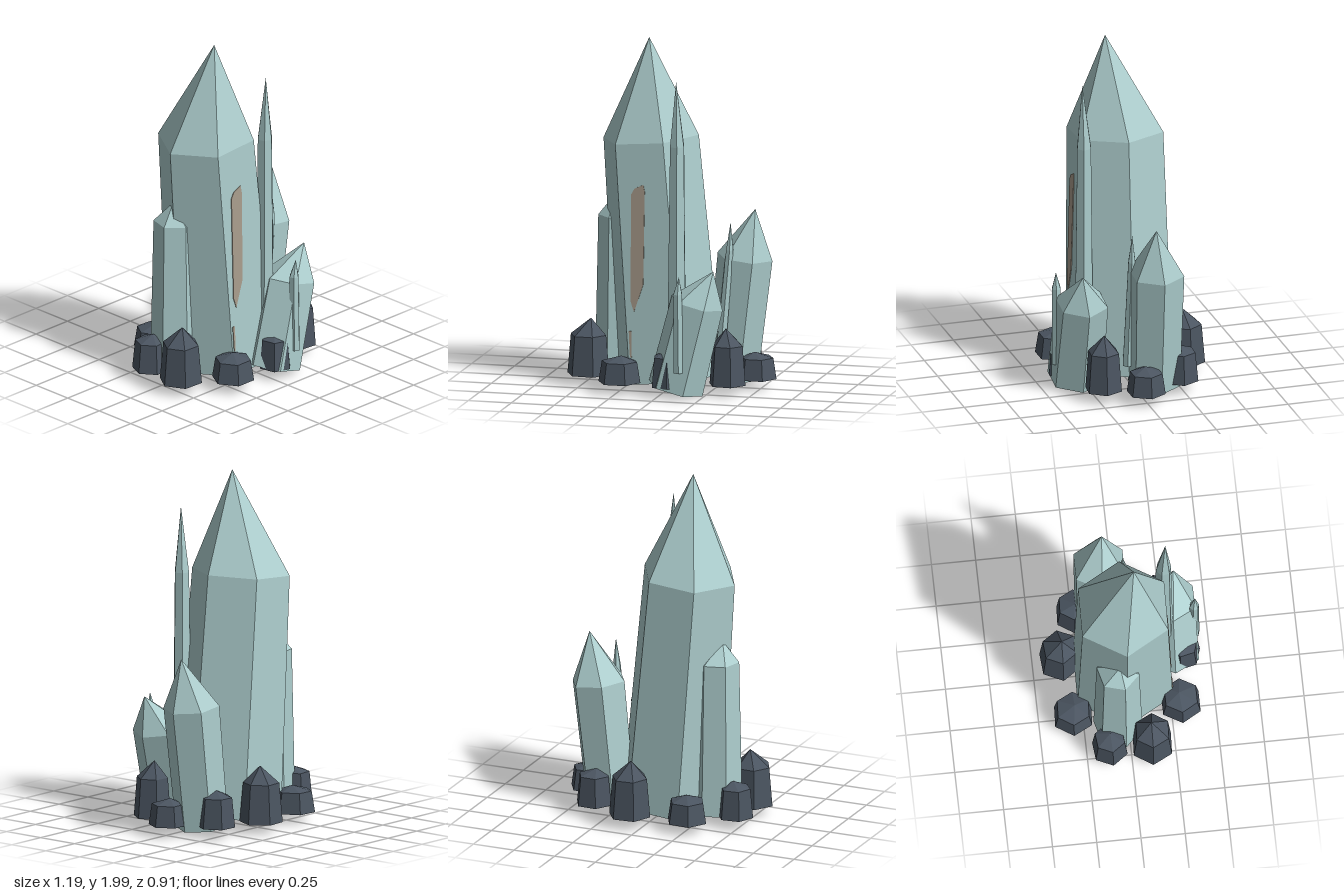
import * as THREE from 'three';

const V = (a) => new THREE.Vector3(...a);

// Six-sided ring of corners at right angles to an axis
function ring(center, axis, radius, yaw) {
  const q = new THREE.Quaternion().setFromUnitVectors(new THREE.Vector3(0, 1, 0), axis);
  return Array.from({ length: 6 }, (_, i) => {
    const a = yaw + (i * Math.PI) / 3;
    return new THREE.Vector3(Math.cos(a) * radius, 0, Math.sin(a) * radius)
      .applyQuaternion(q).add(center);
  });
}

// Base ring, shoulder ring and tip of one pointed crystal
function sections({ base, shoulder, tip, r0, r1, yaw = 0 }) {
  const B = V(base), S = V(shoulder), T = V(tip);
  const axis = S.clone().sub(B).normalize();
  return { B, T, lo: ring(B, axis, r0, yaw), hi: ring(S, axis, r1, yaw) };
}

function crystalGeometry(spec) {
  const { B, T, lo, hi } = sections(spec);
  const pts = [];
  for (let i = 0; i < 6; i++) {
    const j = (i + 1) % 6;
    pts.push(lo[i], hi[i], hi[j], lo[i], hi[j], lo[j]); // side
    pts.push(hi[i], T, hi[j]); // point
    pts.push(lo[j], B, lo[i]); // underside
  }
  const g = new THREE.BufferGeometry().setFromPoints(pts);
  g.computeVertexNormals();
  return g;
}

const CRYSTALS = {
  mainCrystal: { base: [-0.03, 0.055, 0], shoulder: [-0.14, 1.42, -0.01], tip: [-0.135, 2, 0.05], r0: 0.31, r1: 0.28, yaw: 0.02 },
  leftCrystal: { base: [-0.335, 0.06, -0.06], shoulder: [-0.335, 0.95, -0.06], tip: [-0.36, 1.07, -0.05], r0: 0.14, r1: 0.122, yaw: -0.25 },
  rightCrystal: { base: [0.305, 0.045, -0.1], shoulder: [0.385, 0.74, -0.09], tip: [0.45, 1.02, -0.07], r0: 0.15, r1: 0.16 },
  frontCrystal: { base: [0.085, 0.045, 0.295], shoulder: [0.21, 0.54, 0.295], tip: [0.31, 0.73, 0.32], r0: 0.16, r1: 0.152 },
  tallNeedle: { base: [0.075, 0.15, 0.24], shoulder: [0.078, 1.42, 0.24], tip: [0.075, 1.795, 0.25], r0: 0.06, r1: 0.045, yaw: 0.3 },
  lowNeedle: { base: [0.135, 0.16, 0.42], shoulder: [0.13, 0.61, 0.42], tip: [0.138, 0.71, 0.425], r0: 0.031, r1: 0.028, yaw: 0.3 },
  sideNeedle: { base: [0.275, 0.16, 0.045], shoulder: [0.33, 0.8, 0.038], tip: [0.335, 0.96, 0.037], r0: 0.032, r1: 0.023, yaw: 0.3 },
};

// Foot rocks: x, z, radius, yaw; three heights repeat around the circle
const ROCKS = [
  [0.48, 0, 0.112, 0], [0.365, 0.215, 0.108, 0.1], [0.05, 0.35, 0.098, 0.3],
  [-0.24, 0.305, 0.122, 0], [-0.47, 0.12, 0.124, 0.05], [-0.47, -0.12, 0.105, -0.1],
  [-0.255, -0.305, 0.12, 0.05], [0.08, -0.345, 0.122, -0.08], [0.345, -0.24, 0.108, 0.05],
];
const ROCK_HEIGHTS = [[0.185, 0.215], [0.29, 0.385], [0.235, 0.27]];

// Mineral patches lying on the front face of the main crystal
const PATCHES = [
  [[-0.19, 1.13], [-0.17, 1.165], [-0.118, 1.19], [-0.11, 1.15], [-0.115, 0.62], [-0.168, 0.46], [-0.188, 0.52]],
  [[-0.198, 0.35], [-0.182, 0.35], [-0.18, 0.2], [-0.19, 0.2]],
];

export function createModel() {
  const crystalMat = new THREE.MeshStandardMaterial({ color: 0xaecfcf });
  crystalMat.name = 'pale crystal';
  const rockMat = new THREE.MeshStandardMaterial({ color: 0x4b5561 });
  rockMat.name = 'slate rock';
  const patchMat = new THREE.MeshStandardMaterial({ color: 0xa99d8d });
  patchMat.name = 'tan mineral';

  const model = new THREE.Group();
  model.name = 'crystalCluster';
  const add = (geometry, material, name) => {
    const mesh = new THREE.Mesh(geometry, material);
    mesh.name = name;
    model.add(mesh);
  };

  // Crystals and needles
  for (const [name, spec] of Object.entries(CRYSTALS)) add(crystalGeometry(spec), crystalMat, name);

  // Ring of rocks around the foot
  ROCKS.forEach(([x, z, r, yaw], i) => {
    const [shoulder, top] = ROCK_HEIGHTS[i % 3];
    const spec = { base: [x, 0.065, z], shoulder: [x, shoulder, z], tip: [x * 0.97, top, z * 0.97], r0: r, r1: r * 0.84, yaw };
    add(crystalGeometry(spec), rockMat, 'footRock' + (i + 1));
  });

  // Thin patches sheared onto the face plane
  const { lo, hi } = sections(CRYSTALS.mainCrystal);
  const face = new THREE.Plane().setFromCoplanarPoints(lo[1], hi[1], hi[2]);
  PATCHES.forEach((outline, i) => {
    const shape = new THREE.Shape(outline.map(([x, y]) => new THREE.Vector2(x, y)));
    const g = new THREE.ExtrudeGeometry(shape, { depth: 0.008, bevelEnabled: false });
    const p = g.attributes.position, n = face.normal;
    for (let k = 0; k < p.count; k++) {
      const z = -(face.constant + n.x * p.getX(k) + n.y * p.getY(k)) / n.z;
      p.setZ(k, p.getZ(k) + z - 0.004);
    }
    g.computeVertexNormals();
    add(g, patchMat, 'mineralPatch' + (i + 1));
  });

  return model;
}
